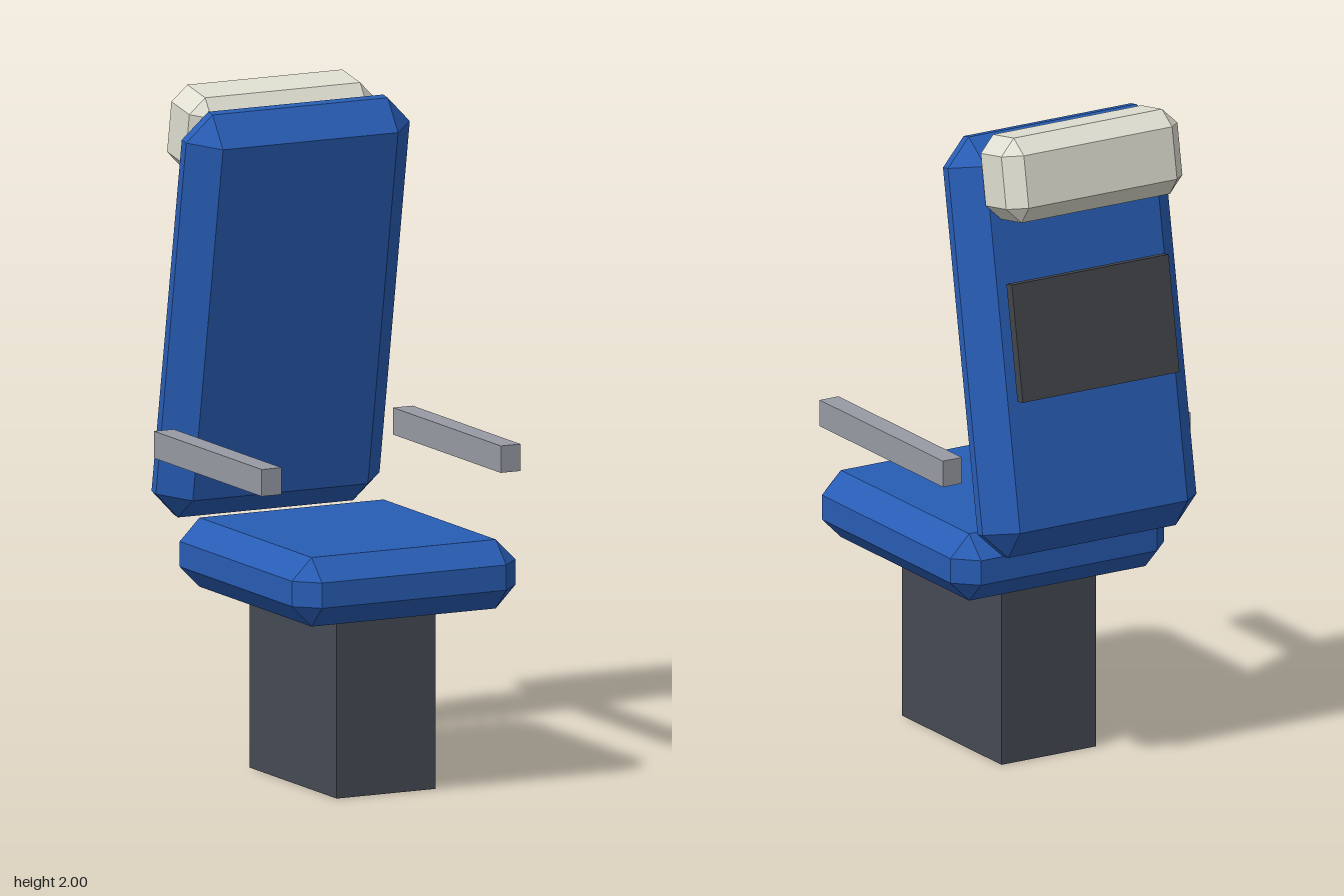
import * as THREE from 'three';
import { ConvexGeometry } from 'three/addons/geometries/ConvexGeometry.js';

const mat = (name, color) => {
  const m = new THREE.MeshStandardMaterial({ color });
  m.name = name;
  return m;
};

// Box with every edge cut at 45 degrees and triangular corners
function chamferedBox(w, h, d, c) {
  const pts = [];
  for (const sx of [-1, 1]) for (const sy of [-1, 1]) for (const sz of [-1, 1]) {
    const x = w / 2, y = h / 2, z = d / 2;
    pts.push(
      new THREE.Vector3(sx * x, sy * (y - c), sz * (z - c)),
      new THREE.Vector3(sx * (x - c), sy * y, sz * (z - c)),
      new THREE.Vector3(sx * (x - c), sy * (y - c), sz * z)
    );
  }
  return new ConvexGeometry(pts);
}

export function createModel() {
  const group = new THREE.Group();
  group.name = 'passengerSeat';

  const fabric = mat('blueFabric', 0x285db5);
  const headCloth = mat('creamHeadrest', 0xe0dfd2);
  const pedestal = mat('darkPedestal', 0x464a54);
  const panel = mat('charcoalPanel', 0x42454b);
  const armGrey = mat('greyArmrest', 0x989ba4);

  // The top of the back leans forward over the cushion
  const lean = THREE.MathUtils.degToRad(10);

  const add = (name, geometry, material, x, y, z, tilt = 0) => {
    const mesh = new THREE.Mesh(geometry, material);
    mesh.name = name;
    mesh.position.set(x, y, z);
    mesh.rotation.x = tilt;
    group.add(mesh);
  };

  // Pedestal and cushion
  add('pedestal', new THREE.BoxGeometry(0.325, 0.545, 0.545), pedestal, 0, 0.2725, 0.065);
  add('seatCushion', chamferedBox(0.737, 0.205, 0.833, 0.065), fabric, 0, 0.6445, 0.097);

  // Leaning back, headrest and rear panel
  add('backrest', chamferedBox(0.737, 1.251, 0.188, 0.08), fabric, 0, 1.337, -0.3225, lean);
  add('headrest', chamferedBox(0.607, 0.252, 0.21, 0.048), headCloth, 0, 1.866, -0.3875, lean);
  add('rearPanel', new THREE.BoxGeometry(0.54, 0.35, 0.03), panel, 0, 1.38, -0.45, lean);

  // Armrests
  for (const [name, side] of [['leftArmrest', 1], ['rightArmrest', -1]]) {
    add(name, new THREE.BoxGeometry(0.065, 0.08, 0.675), armGrey, side * 0.394, 0.966, 0.032);
  }

  return group;
}
